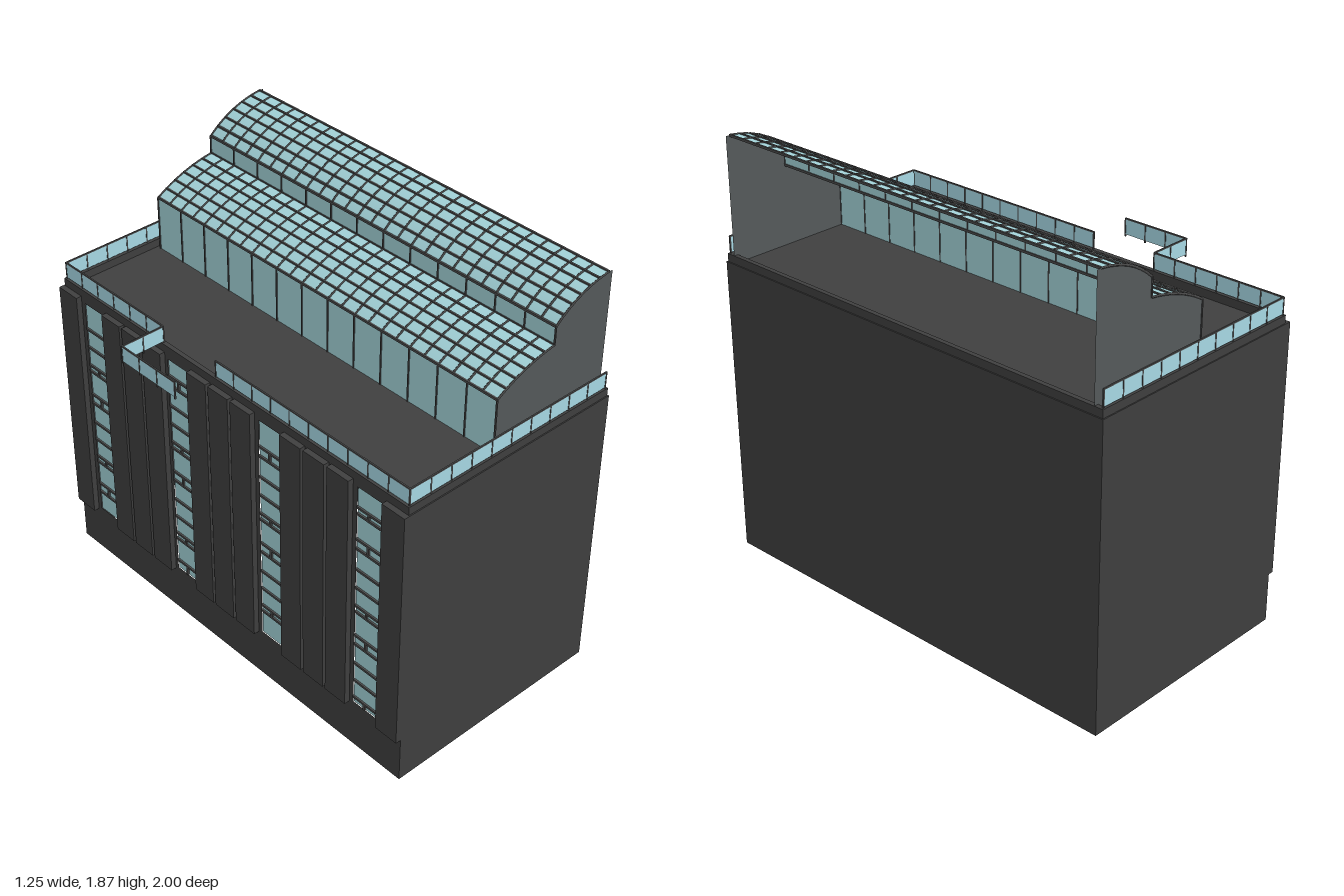
import * as THREE from 'three';

const D = THREE.DoubleSide;
const mat = (color) => new THREE.MeshStandardMaterial({ color, side: D });

export function createModel() {
  const model = new THREE.Group();
  const dark = mat(0x3f3f3f), frame = mat(0x4a4a4a), endGrey = mat(0x555a5b);
  const glass = mat(0xa3d3d9), railGlass = mat(0xa8dae6);

  const group = (name) => {
    const g = new THREE.Group();
    g.name = name;
    model.add(g);
    return g;
  };
  const add = (parent, name, geo, m) => {
    const mesh = new THREE.Mesh(geo, m);
    mesh.name = name;
    parent.add(mesh);
    return mesh;
  };
  // box given by its limits on each axis
  const box = (parent, name, m, x0, x1, y0, y1, z0, z1) => {
    const b = add(parent, name, new THREE.BoxGeometry(x1 - x0, y1 - y0, z1 - z0), m);
    b.position.set((x0 + x1) / 2, (y0 + y1) / 2, (z0 + z1) / 2);
    return b;
  };
  const X0 = -0.43, X1 = 0.625, TOP = 1.325, RIM = 1.36;

  // plain walls, open underneath
  const walls = group('walls');
  for (const s of [-1, 1]) {
    const end = add(walls, 'endWall', new THREE.PlaneGeometry(X1 - X0, TOP), dark);
    end.position.set((X0 + X1) / 2, TOP / 2, s);
    if (s < 0) end.rotation.y = Math.PI;
  }
  const long = add(walls, 'longWall', new THREE.PlaneGeometry(2, TOP), dark);
  long.rotation.y = Math.PI / 2;
  long.position.set(X1, TOP / 2, 0);

  // facade wall with four tall window openings
  const windows = [-0.8, -0.27, 0.265, 0.8], half = 0.062, wy0 = 0.23, wy1 = 1.3;
  const rect = (P, a, b, c, d) => {
    const p = new P();
    p.moveTo(a, c); p.lineTo(b, c); p.lineTo(b, d); p.lineTo(a, d); p.closePath();
    return p;
  };
  const facade = rect(THREE.Shape, -1, 1, 0, TOP);
  for (const w of windows) facade.holes.push(rect(THREE.Path, w - half, w + half, wy0, wy1));
  const fw = add(walls, 'facadeWall', new THREE.ShapeGeometry(facade), dark);
  fw.rotation.y = -Math.PI / 2;
  fw.position.x = X0;

  // window strips with irregular glazing bars
  const steps = [0.1, 0.045, 0.12, 0.03, 0.09, 0.09];
  windows.forEach((w, i) => {
    const g = group('windowStrip');
    const pane = add(g, 'windowGlass', new THREE.PlaneGeometry(2 * half, wy1 - wy0), glass);
    pane.rotation.y = -Math.PI / 2;
    pane.position.set(X0 + 0.003, (wy0 + wy1) / 2, w);
    let y = wy0, k = i;
    while ((y += steps[k % steps.length]) < wy1 - 0.02) {
      box(g, 'glazingBar', frame, X0 - 0.005, X0 + 0.006, y - 0.005, y + 0.005, w - half, w + half);
      if (steps[k % steps.length] < 0.05)
        box(g, 'glazingUpright', frame, X0 - 0.005, X0 + 0.006,
          y - steps[k % steps.length], y, w - 0.005, w + 0.005);
      k++;
    }
  });

  // projecting facade piers
  const piers = group('piers');
  const pierSpans = [[-1, -0.885]];
  for (const c of [-0.535, -0.005, 0.53])
    for (const o of [-0.128, 0, 0.128]) pierSpans.push([c + o - 0.057, c + o + 0.057]);
  pierSpans.push([0.885, 1]);
  for (const [a, b] of pierSpans) box(piers, 'pier', dark, X0 - 0.025, X0 + 0.002, 0.215, TOP, a, b);

  // roof and parapet
  const roof = group('roof');
  const deck = add(roof, 'roofDeck', new THREE.PlaneGeometry(X1 - X0, 2), dark);
  deck.rotation.x = -Math.PI / 2;
  deck.position.set((X0 + X1) / 2, TOP, 0);
  const px = X1 - 0.005, pz = 0.995;
  for (const s of [-1, 1])
    box(roof, 'parapet', dark, X0, px, TOP, RIM, s * pz - (s > 0 ? 0.02 : 0), s * pz + (s < 0 ? 0.02 : 0));
  box(roof, 'parapet', dark, X0, X0 + 0.02, TOP, RIM, -pz, pz);
  box(roof, 'parapet', dark, px - 0.02, px, TOP, RIM, -pz, pz);

  // glass railing: each run goes from one plan point to the next
  const railing = group('railing');
  const run = (ax, az, bx, bz) => {
    const len = Math.hypot(bx - ax, bz - az), n = Math.max(2, Math.round(len / 0.104));
    const g = new THREE.Group();
    g.name = 'railRun';
    g.position.set(ax, 0, az);
    g.rotation.y = Math.atan2(-(bz - az), bx - ax);
    railing.add(g);
    box(g, 'railGlass', railGlass, 0, len, RIM + 0.004, 1.435, -0.0015, 0.0015);
    box(g, 'railTop', frame, 0, len, 1.43, 1.436, -0.003, 0.003);
    for (let i = 0; i <= n; i++) {
      const x = (len * i) / n;
      box(g, 'railPost', frame, x - 0.003, x + 0.003, RIM - 0.005, 1.435, -0.003, 0.003);
    }
  };
  const rx = X0 + 0.01, rz = 0.987;
  run(rx, rz, 0.61, rz);
  run(rx, -rz, 0.61, -rz);
  run(rx, -rz, rx, -0.365);
  run(rx, -0.365, -0.62, -0.365);
  run(-0.62, -0.365, -0.62, -0.05);
  run(rx, -0.05, rx, rz);

  // stepped atrium: two vertical glass walls and two curved glass roofs
  const atrium = group('atrium');
  const L = 0.955, V = (x, y) => new THREE.Vector3(x, y, 0);
  const arcs = [
    [V(0.04, 1.57), V(0.17, 1.65), V(0.33, 1.67)],
    [V(0.33, 1.75), V(0.44, 1.85), V(0.6, 1.865)],
  ];
  const end = new THREE.Shape();
  end.moveTo(0.04, TOP);
  for (const [a, b, c] of arcs) {
    end.lineTo(a.x, a.y);
    end.quadraticCurveTo(b.x, b.y, c.x, c.y);
  }
  end.lineTo(0.62, 1.865);
  end.lineTo(0.62, TOP);
  for (const s of [-1, 1]) {
    const e = add(atrium, 'atriumEndWall', new THREE.ShapeGeometry(end, 12), endGrey);
    e.position.z = s * L;
  }
  for (const pts of arcs) {
    const curve = new THREE.QuadraticBezierCurve3(...pts);
    // curved sheet from a plane whose rows follow the arc
    const sheet = new THREE.PlaneGeometry(1, 2 * L, 12, 1), p = sheet.attributes.position;
    for (let i = 0; i < p.count; i++) {
      const q = curve.getPoint(p.getX(i) + 0.5);
      p.setXYZ(i, q.x, q.y, -p.getY(i));
    }
    sheet.computeVertexNormals();
    add(atrium, 'curvedGlassRoof', sheet, glass);
    for (let i = 0; i <= 26; i++) {
      const rib = add(atrium, 'roofRib', new THREE.TubeGeometry(curve, 8, 0.005, 4), frame);
      rib.position.z = -L + (2 * L * i) / 26;
    }
    for (let i = 0; i <= 6; i++) {
      const q = curve.getPointAt(i / 6);
      box(atrium, 'roofPurlin', frame, q.x - 0.004, q.x + 0.004, q.y - 0.005, q.y + 0.005, -L, L);
    }
  }
  for (const [x, y0, y1] of [[0.04, TOP, 1.57], [0.33, 1.67, 1.75]]) {
    const w = add(atrium, 'verticalGlassWall', new THREE.PlaneGeometry(2 * L, y1 - y0), glass);
    w.rotation.y = -Math.PI / 2;
    w.position.set(x, (y0 + y1) / 2, 0);
    for (let i = 0; i <= 13; i++) {
      const z = -L + (2 * L * i) / 13;
      box(atrium, 'wallMullion', frame, x - 0.004, x + 0.002, y0, y1, z - 0.003, z + 0.003);
    }
  }
  return model;
}
